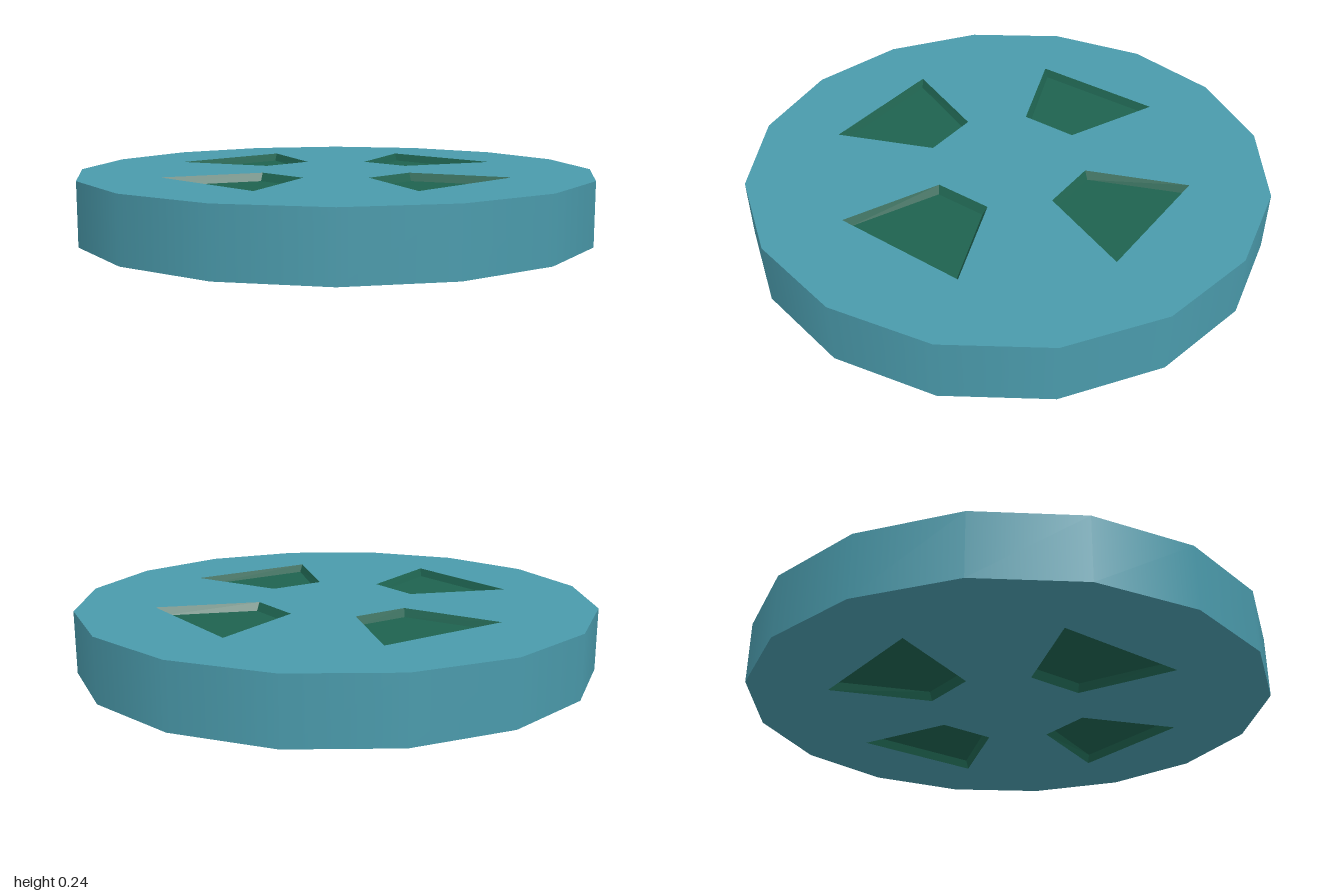
import * as THREE from 'three';

const HEIGHT = 0.24, SIDES = 16, DEPTH = 0.03;
// one recess, counter-clockwise seen from above: rim and smaller floor
const RIM = [[0.28, 0.12], [0.645, 0.272], [0.272, 0.645], [0.12, 0.28]];
const FLOOR = [[0.285, 0.14], [0.62, 0.277], [0.277, 0.62], [0.14, 0.285]];

const quarterTurn = ([x, y], k) => {
  for (let i = 0; i < k; i++) [x, y] = [-y, x];
  return new THREE.Vector2(x, y);
};

// Flat 16-sided face with four openings, facing up
function faceGeometry() {
  const outline = [];
  for (let i = 0; i < SIDES; i++) {
    const a = (i / SIDES) * Math.PI * 2;
    outline.push(new THREE.Vector2(Math.cos(a), Math.sin(a)));
  }
  const shape = new THREE.Shape(outline);
  for (let k = 0; k < 4; k++) {
    shape.holes.push(new THREE.Path(RIM.map(p => quarterTurn(p, k)).reverse()));
  }
  return new THREE.ShapeGeometry(shape).rotateX(-Math.PI / 2);
}

// Sloped walls and floor of one recess, open at the top
function recessGeometry() {
  const rim = RIM.map(([x, y]) => [x, 0, -y]);
  const floor = FLOOR.map(([x, y]) => [x, -DEPTH, -y]);
  const positions = [];
  const quad = (a, b, c, d) => positions.push(...a, ...b, ...c, ...a, ...c, ...d);
  quad(...floor);
  for (let i = 0; i < 4; i++) {
    const j = (i + 1) % 4;
    quad(rim[i], rim[j], floor[j], floor[i]);
  }
  const geometry = new THREE.BufferGeometry();
  geometry.setAttribute('position', new THREE.Float32BufferAttribute(positions, 3));
  geometry.computeVertexNormals();
  return geometry;
}

export function createModel() {
  const group = new THREE.Group();
  group.name = 'disc';
  const teal = new THREE.MeshStandardMaterial({ color: 0x4a9aab });
  const green = new THREE.MeshStandardMaterial({ color: 0x1e624f });

  // Smooth outer band
  const band = new THREE.Mesh(new THREE.CylinderGeometry(1, 1, HEIGHT, SIDES, 1, true), teal);
  band.name = 'outerBand';
  band.position.y = HEIGHT / 2;
  group.add(band);

  // Top and bottom faces, each with four recesses
  const face = faceGeometry(), recess = recessGeometry();
  for (const top of [true, false]) {
    const side = new THREE.Group();
    side.name = top ? 'topSide' : 'bottomSide';
    side.position.y = top ? HEIGHT : 0;
    side.rotation.x = top ? 0 : Math.PI;
    const plate = new THREE.Mesh(face, teal);
    plate.name = 'face';
    side.add(plate);
    for (let k = 0; k < 4; k++) {
      const pocket = new THREE.Mesh(recess, green);
      pocket.name = 'recess' + (k + 1);
      pocket.rotation.y = (k * Math.PI) / 2;
      side.add(pocket);
    }
    group.add(side);
  }
  return group;
}
